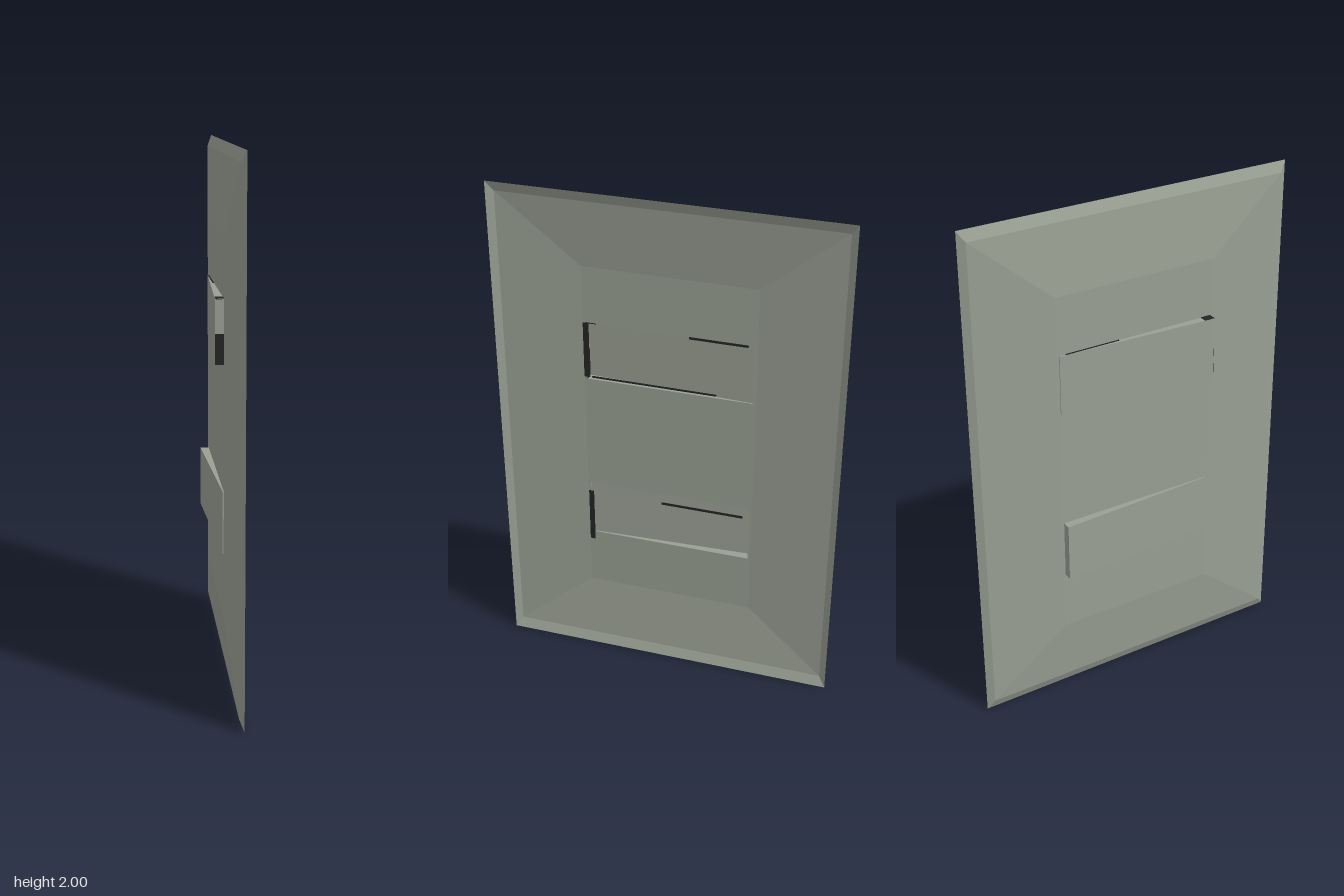
import * as THREE from 'three';

const plateGrey = new THREE.MeshStandardMaterial({ color: 0x9aa094, side: THREE.DoubleSide });
plateGrey.name = 'greyGreenPlastic';
const seamBlack = new THREE.MeshStandardMaterial({ color: 0x242424, side: THREE.DoubleSide });
seamBlack.name = 'blackSeam';

const FACE_X = -0.004;
const HALF_Z = 0.32;

// Rectangle ring of four corners, counter-clockwise seen from -x;
// xNeg and xPos are the depths at the -z and +z ends
const ring = (xNeg, xPos, hz, y0, y1) => [
  [xNeg, y0, -hz], [xPos, y0, hz], [xPos, y1, hz], [xNeg, y1, -hz],
];

// Flat-faced surface through successive rings, optionally closed at the end
function loft(rings, cap) {
  const pos = [];
  const quad = (a, b, c, d) => pos.push(...a, ...b, ...c, ...a, ...c, ...d);
  for (let r = 0; r < rings.length - 1; r++) {
    for (let i = 0; i < 4; i++) {
      const j = (i + 1) % 4;
      quad(rings[r][i], rings[r][j], rings[r + 1][j], rings[r + 1][i]);
    }
  }
  if (cap) quad(...rings[rings.length - 1]);
  const geo = new THREE.BufferGeometry();
  geo.setAttribute('position', new THREE.Float32BufferAttribute(pos, 3));
  geo.computeVertexNormals();
  return geo;
}

function add(parent, name, geo, mat) {
  const mesh = new THREE.Mesh(geo, mat);
  mesh.name = name;
  parent.add(mesh);
  return mesh;
}

// Thin dark strip given by its extents
function strip(parent, x0, x1, y0, y1, z0, z1) {
  const geo = new THREE.BoxGeometry(x1 - x0, y1 - y0, z1 - z0);
  geo.translate((x0 + x1) / 2, (y0 + y1) / 2, (z0 + z1) / 2);
  add(parent, 'seam', geo, seamBlack);
}

export function createModel() {
  const group = new THREE.Group();
  group.name = 'wallSwitchPlate';
  const rockers = [
    { name: 'upperRocker', y0: 1.24, y1: 1.475, xNeg: -0.008, xPos: -0.036 },
    { name: 'lowerRocker', y0: 0.54, y1: 0.775, xNeg: -0.037, xPos: -0.008 },
  ];

  // Hollow plate: steep rim, then a shallow slope up to the flat centre
  add(group, 'plateRim', loft([
    ring(0.037, 0.037, 0.665, 0, 2),
    ring(0.02, 0.02, 0.638, 0.04, 1.96),
    ring(FACE_X, FACE_X, 0.33, 0.3, 1.7),
  ], false), plateGrey);

  // Flat centre with an opening for each rocker
  const face = new THREE.Shape([
    new THREE.Vector2(-0.33, 0.3), new THREE.Vector2(0.33, 0.3),
    new THREE.Vector2(0.33, 1.7), new THREE.Vector2(-0.33, 1.7),
  ]);
  for (const { y0, y1 } of rockers) {
    face.holes.push(new THREE.Path([
      new THREE.Vector2(-HALF_Z, y0), new THREE.Vector2(-HALF_Z, y1),
      new THREE.Vector2(HALF_Z, y1), new THREE.Vector2(HALF_Z, y0),
    ]));
  }
  const faceGeo = new THREE.ShapeGeometry(face);
  faceGeo.rotateY(-Math.PI / 2);
  faceGeo.translate(FACE_X, 0, 0);
  add(group, 'plateFace', faceGeo, plateGrey);

  // Hollow rockers tipped in opposite directions
  for (const { name, y0, y1, xNeg, xPos } of rockers) {
    add(group, name, loft([
      ring(FACE_X, FACE_X, HALF_Z, y0, y1),
      ring(xNeg, xPos, HALF_Z, y0, y1),
    ], true), plateGrey);
  }

  // Dark seams along the rocker edges
  const seams = new THREE.Group();
  seams.name = 'rockerSeams';
  group.add(seams);
  strip(seams, -0.035, FACE_X, 1.24, 1.35, 0.318, 0.322);
  strip(seams, -0.034, FACE_X, 1.473, 1.477, 0.28, 0.32);
  strip(seams, -0.003, -0.001, 1.25, 1.475, 0.308, 0.33);
  strip(seams, -0.009, -0.002, 1.468, 1.477, -0.295, -0.075);
  strip(seams, -0.006, -0.002, 1.248, 1.254, -0.18, 0.3);
  strip(seams, -0.003, -0.001, 0.505, 0.735, 0.308, 0.328);
  strip(seams, -0.003, -0.001, 0.727, 0.737, -0.295, 0.03);
  return group;
}
